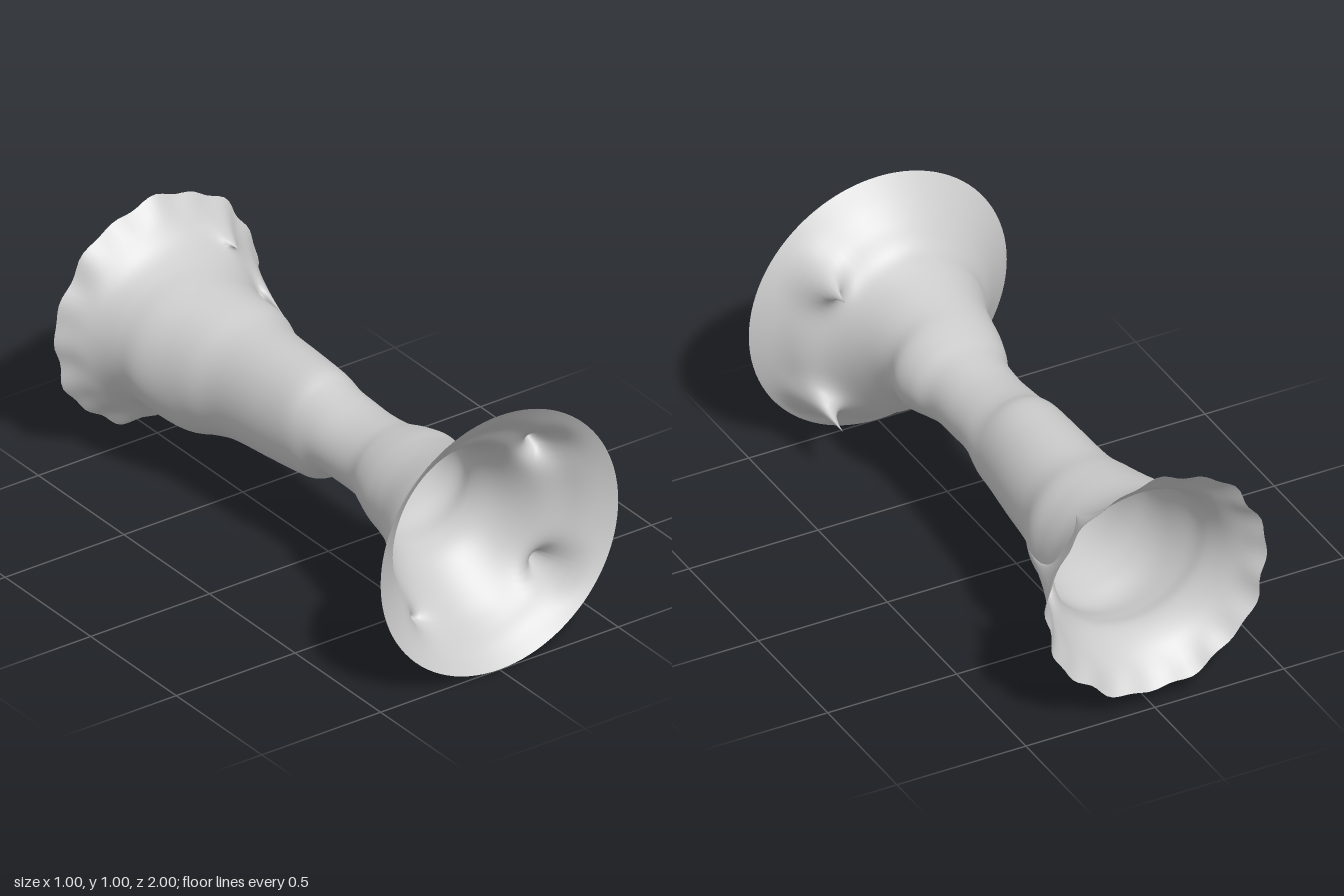
import * as THREE from 'three';

// Cross-sections along the tube: z, x min, x max, y min, y max
const SECTIONS = [
  [1, -0.5, 0.5, 0, 1],
  [0.94, -0.43, 0.42, 0.06, 0.93],
  [0.88, -0.37, 0.36, 0.1, 0.87],
  [0.82, -0.32, 0.29, 0.14, 0.8],
  [0.75, -0.29, 0.24, 0.2, 0.765],
  [0.66, -0.25, 0.2, 0.28, 0.735],
  [0.58, -0.23, 0.185, 0.315, 0.715],
  [0.5, -0.215, 0.2, 0.33, 0.7],
  [0.42, -0.19, 0.185, 0.355, 0.68],
  [0.34, -0.16, 0.155, 0.365, 0.66],
  [0.22, -0.155, 0.15, 0.37, 0.648],
  [0.11, -0.16, 0.15, 0.365, 0.655],
  [0.03, -0.17, 0.155, 0.31, 0.67],
  [-0.05, -0.175, 0.16, 0.292, 0.695],
  [-0.2, -0.185, 0.175, 0.275, 0.698],
  [-0.4, -0.2, 0.195, 0.255, 0.7],
  [-0.52, -0.235, 0.235, 0.225, 0.72],
  [-0.62, -0.265, 0.24, 0.195, 0.735],
  [-0.72, -0.3, 0.25, 0.21, 0.75],
  [-0.8, -0.315, 0.28, 0.22, 0.77],
  [-0.88, -0.345, 0.33, 0.185, 0.81],
  [-0.95, -0.39, 0.37, 0.125, 0.88],
  [-1, -0.43, 0.42, 0.07, 0.93],
];

// Pulled-out spikes and dents: base on the surface, tip, width
const SPIKES = [
  { base: [0.35, 0.51, -0.9], tip: [0.28, 0.51, -0.6], width: 0.075 },
  { base: [0.3, 0.24, 0.9], tip: [0.31, 0.24, 0.66], width: 0.06 },
  { base: [0.29, 0.73, 0.88], tip: [0.28, 0.74, 0.7], width: 0.06 },
  { base: [0.23, 0.77, -0.9], tip: [0.2, 0.74, -0.79], width: 0.06 },
  { base: [-0.22, 0.18, 0.84], tip: [-0.22, 0.17, 0.75], width: 0.06 },
].map((s) => ({ base: new THREE.Vector3(...s.base), tip: new THREE.Vector3(...s.tip), width: s.width }));

const AROUND = 96;
const ALONG = 132;

function tubeGeometry() {
  const uniformCurve = (points) => new THREE.CatmullRomCurve3(points, false, 'catmullrom', 0.5);
  const xCurve = uniformCurve(SECTIONS.map((s) => new THREE.Vector3(s[0], s[1], s[2])));
  const yCurve = uniformCurve(SECTIONS.map((s) => new THREE.Vector3(s[0], s[3], s[4])));
  const positions = [];
  const index = [];
  const v = new THREE.Vector3();

  for (let i = 0; i <= ALONG; i++) {
    const xs = xCurve.getPoint(i / ALONG);
    const ys = yCurve.getPoint(i / ALONG);
    const z = xs.x;
    // The back rim is slightly ragged
    const ragged = 0.015 * THREE.MathUtils.smoothstep(-z, 0.9, 1);
    for (let j = 0; j < AROUND; j++) {
      const a = (j / AROUND) * Math.PI * 2;
      const k = 1 + ragged * (Math.sin(a * 9) + Math.sin(a * 16 + 1));
      v.set(
        (xs.y + xs.z) / 2 + ((xs.z - xs.y) / 2) * k * Math.cos(a),
        (ys.y + ys.z) / 2 + ((ys.z - ys.y) / 2) * k * Math.sin(a),
        z,
      );
      // Rims stay in place while the spikes are drawn out
      const free = THREE.MathUtils.smoothstep(1 - Math.abs(z), 0, 0.06);
      for (const s of SPIKES) {
        const d = v.distanceTo(s.base) / s.width;
        v.lerp(s.tip, free * Math.exp(-Math.pow(d, 1.6)));
      }
      positions.push(v.x, v.y, v.z);
    }
  }

  // Wrapped grid, outside facing outward
  for (let i = 0; i < ALONG; i++) {
    for (let j = 0; j < AROUND; j++) {
      const n = (j + 1) % AROUND;
      const a = i * AROUND + j;
      const b = i * AROUND + n;
      const c = a + AROUND;
      const d = b + AROUND;
      index.push(a, c, b, b, c, d);
    }
  }

  const geometry = new THREE.BufferGeometry();
  geometry.setAttribute('position', new THREE.Float32BufferAttribute(positions, 3));
  geometry.setIndex(index);
  geometry.computeVertexNormals();
  return geometry;
}

export function createModel() {
  const group = new THREE.Group();
  group.name = 'flaredTube';
  // Thin open shell with a bell at each end
  const material = new THREE.MeshStandardMaterial({ color: 0xcccccc, side: THREE.DoubleSide });
  const shell = new THREE.Mesh(tubeGeometry(), material);
  shell.name = 'tubeShell';
  group.add(shell);
  return group;
}
